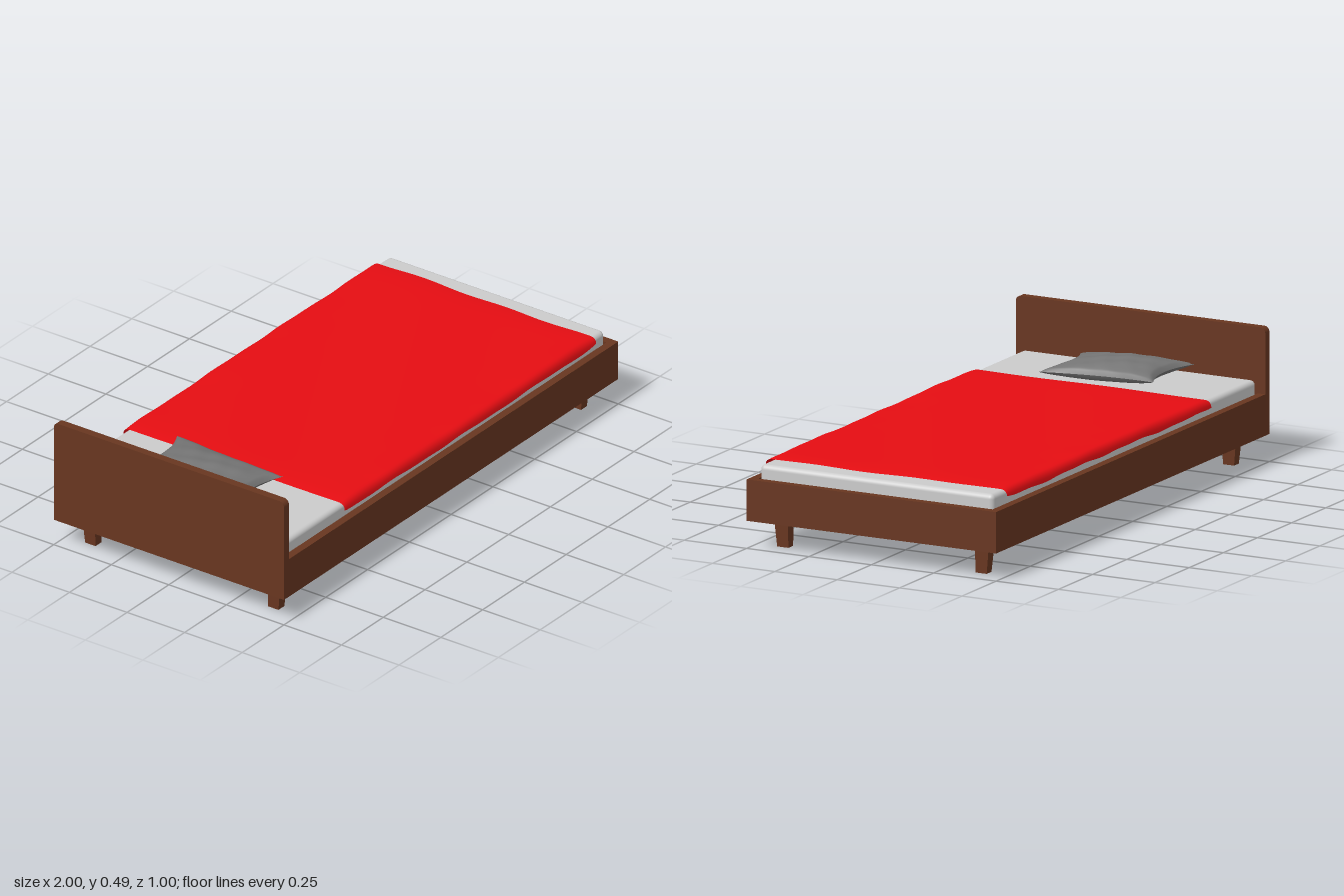
import * as THREE from 'three';
import { RoundedBoxGeometry } from 'three/addons/geometries/RoundedBoxGeometry.js';

const mat = (color, side = THREE.FrontSide) => new THREE.MeshStandardMaterial({ color, side });

// Cloth sheet: a grid in u,v (-1..1) placed by a rule (u, v) -> [x, y, z]
function sheet(nu, nv, rule, faceDown = false) {
  const geo = new THREE.PlaneGeometry(2, 2, nu, nv);
  geo.rotateX(faceDown ? Math.PI / 2 : -Math.PI / 2);
  const p = geo.attributes.position;
  for (let i = 0; i < p.count; i++) p.setXYZ(i, ...rule(p.getX(i), p.getZ(i)));
  geo.computeVertexNormals();
  return geo;
}

export function createModel() {
  const bed = new THREE.Group();
  bed.name = 'bed';
  const wood = mat(0x683620);
  const add = (name, geo, material, x = 0, y = 0, z = 0, parent = bed) => {
    const mesh = new THREE.Mesh(geo, material);
    mesh.name = name;
    mesh.position.set(x, y, z);
    parent.add(mesh);
    return mesh;
  };

  // Frame rails
  for (const s of [1, -1]) {
    add(s > 0 ? 'leftRail' : 'rightRail', new THREE.BoxGeometry(1.94, 0.15, 0.03), wood, 0, 0.175, s * 0.485);
  }
  add('footRail', new THREE.BoxGeometry(0.03, 0.15, 1), wood, 0.985, 0.175, 0);

  // Headboard with softened top corners
  const r = 0.02;
  const board = new THREE.Shape();
  board.moveTo(-0.5, 0.1);
  board.lineTo(0.5, 0.1);
  board.lineTo(0.5, 0.49 - r);
  board.absarc(0.5 - r, 0.49 - r, r, 0, Math.PI / 2, false);
  board.lineTo(-0.5 + r, 0.49);
  board.absarc(-0.5 + r, 0.49 - r, r, Math.PI / 2, Math.PI, false);
  const boardGeo = new THREE.ExtrudeGeometry(board, { depth: 0.03, bevelEnabled: false, curveSegments: 6 });
  boardGeo.rotateY(Math.PI / 2);
  add('headboard', boardGeo, wood, -1, 0, 0);

  // Legs: upright inner face, outer face tapering towards the floor
  for (const sx of [1, -1]) for (const sz of [1, -1]) {
    const geo = new THREE.BoxGeometry(0.05, 0.2, 0.065);
    const p = geo.attributes.position;
    for (let i = 0; i < p.count; i++) {
      if (p.getY(i) > 0) continue;
      p.setX(i, p.getX(i) * 0.7);
      if (p.getZ(i) * sz > 0) p.setZ(i, sz * 0.0125);
    }
    geo.computeVertexNormals();
    add('leg', geo, wood, sx * 0.905, 0.1, sz * 0.4075);
  }

  // Mattress
  add('mattress', new RoundedBoxGeometry(1.93, 0.1, 0.935, 4, 0.018), mat(0xcccccc), 0, 0.25, 0);

  // Blanket draped over both long sides
  const blanketGeo = sheet(90, 80, (u, v) => {
    const s = Math.abs(v) * 0.515;
    const t = Math.max(0, (s - 0.455) / 0.06);
    const endFold = Math.pow(Math.abs(u), 24);
    const wave = Math.sin(u * 11 + v * 2) * 0.5 + Math.sin(u * 23 - v * 3) * 0.3;
    const edge = Math.pow(Math.abs(v), 6);
    const x = 0.14 + 0.75 * u + 0.004 * endFold * Math.sin(v * 9) * (u > 0 ? 1 : 0);
    const y = 0.309 + 0.0015 * wave * edge + 0.0012 * Math.sin(u * 4 + v * 5)
      - 0.034 * t * t * (1 - 0.3 * endFold) + 0.004 * t * wave - 0.005 * endFold;
    const z = Math.sign(v) * (Math.min(s, 0.455) + 0.027 * Math.sin(t * Math.PI / 2) + 0.002 * t * wave);
    return [x, y, z];
  });
  add('blanket', blanketGeo, mat(0xe60d12, THREE.DoubleSide));

  // Pillow: two puffed sheets meeting in a seam with pulled-out corners
  const pillow = new THREE.Group();
  pillow.name = 'pillow';
  bed.add(pillow);
  const pillowMat = mat(0x757575, THREE.DoubleSide);
  for (const side of [1, -1]) {
    const geo = sheet(36, 40, (u, v) => {
      const a = 1 - u * u, b = 1 - v * v;
      const puff = Math.pow(Math.max(0, a * b), 0.42);
      const crease = 0.003 * Math.sin(u * 7 + v * 4) * Math.sin(v * 9 - u * 3) * Math.sqrt(Math.max(0, a * b));
      const seam = 0.334 - 0.008 * v;
      const y = side > 0 ? seam + 0.043 * puff + crease : Math.max(0.303, seam - 0.036 * puff);
      return [
        -0.758 + 0.152 * u * (1 - 0.13 * b) + 0.003 * a * Math.sin(v * 6),
        y,
        -0.02 + 0.23 * v * (1 - 0.17 * a) + 0.004 * b * Math.sin(u * 5),
      ];
    }, side < 0);
    add(side > 0 ? 'pillowTop' : 'pillowUnderside', geo, pillowMat, 0, 0, 0, pillow);
  }
  return bed;
}
